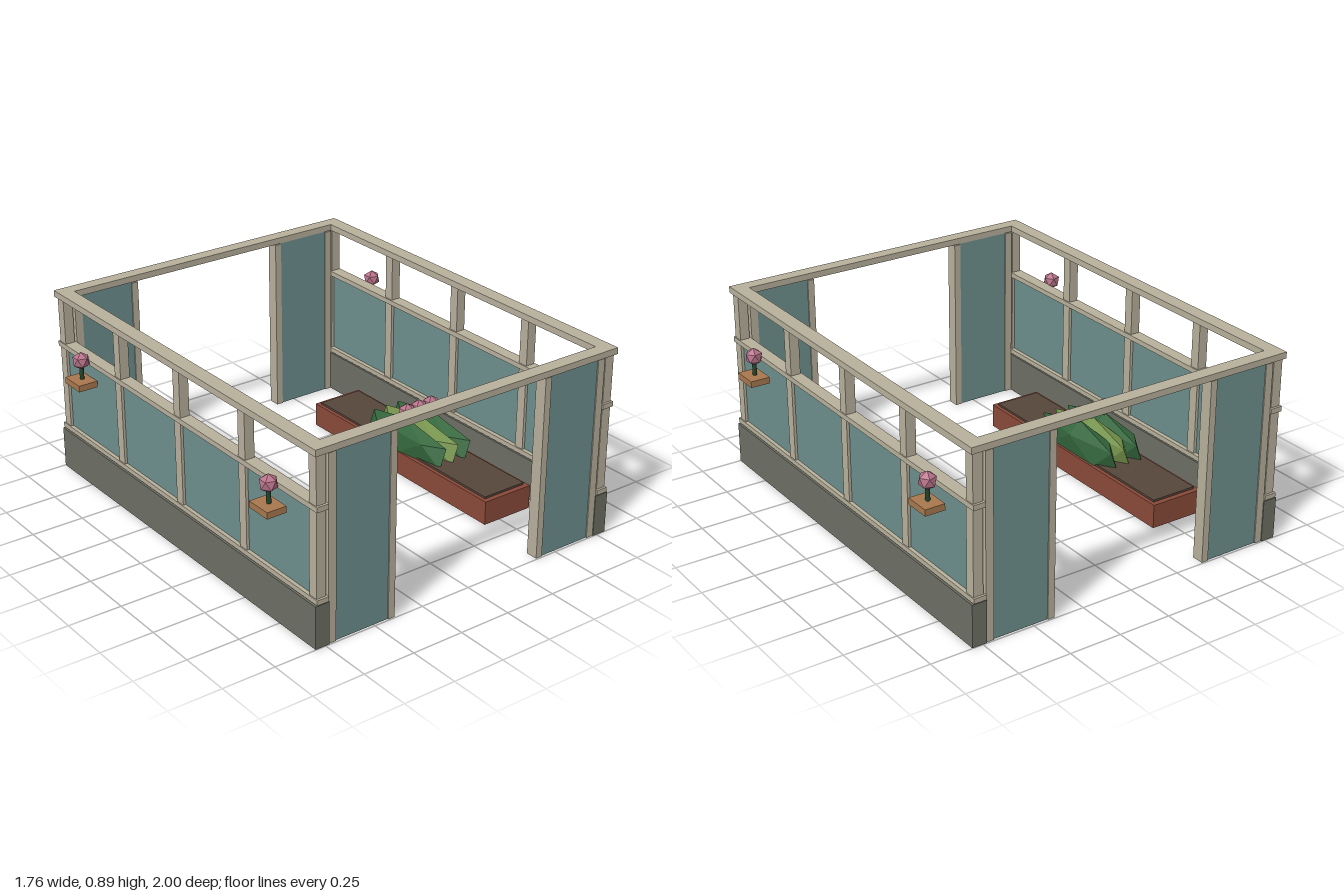
import * as THREE from 'three';

const mat = (name, color, flatShading = false) => {
  const m = new THREE.MeshStandardMaterial({ color, flatShading });
  m.name = name;
  return m;
};

export function createModel() {
  const cream = mat('creamFrame', 0xb8b09c);
  const stone = mat('greyBase', 0x6d6f64);
  const glass = mat('tealGlass', 0x6d8f8d);
  const brick = mat('redPlanter', 0x8a4a3a);
  const soil = mat('brownSoil', 0x55463a);
  const wood = mat('shelfWood', 0xa8784e);
  const darkLeaf = mat('darkLeaf', 0x33663c, true);
  const lightLeaf = mat('lightLeaf', 0x74914a, true);
  const stemGreen = mat('stemGreen', 0x24452e);
  const pink = mat('pinkPetal', 0xb8728a, true);

  const model = new THREE.Group();
  model.name = 'greenhouse';

  const add = (name, geo, material, x, y, z) => {
    const m = new THREE.Mesh(geo, material);
    m.name = name;
    m.position.set(x, y, z);
    model.add(m);
    return m;
  };
  // Box given by its limits on each axis
  const box = (name, material, x0, x1, y0, y1, z0, z1) =>
    add(name, new THREE.BoxGeometry(Math.abs(x1 - x0), y1 - y0, z1 - z0), material,
      (x0 + x1) / 2, (y0 + y1) / 2, (z0 + z1) / 2);

  // Icosahedron standing on a vertex, used for blooms and bushes
  const lump = new THREE.IcosahedronGeometry(1, 0);
  lump.rotateZ(-Math.atan(2 / (1 + Math.sqrt(5))));
  const flower = (x, y, z, stemLength) => {
    add('flowerStem', new THREE.CylinderGeometry(0.01, 0.01, stemLength, 6), stemGreen,
      x, y - stemLength / 2, z);
    add('flowerBloom', lump, pink, x, y, z).scale.setScalar(0.042);
  };

  // Top frame across front and back
  for (const s of [-1, 1])
    add('topEndRail', new THREE.BoxGeometry(1.46, 0.03, 0.065), cream, 0, 0.88, s * 0.9675);

  for (const s of [-1, 1]) {
    // Long side wall
    box('topSideRail', cream, s * 0.73, s * 0.8, 0.865, 0.895, -1, 1);
    box('baseWall', stone, s * 0.73, s * 0.8, 0, 0.199, -0.998, 0.998);
    box('lowerRail', cream, s * 0.734, s * 0.793, 0.203, 0.226, -1, 1);
    box('middleRail', cream, s * 0.734, s * 0.793, 0.62, 0.644, -1, 1);
    box('sideGlass', glass, s * 0.755, s * 0.775, 0.226, 0.62, -0.95, 0.95);
    for (const z of [-0.965, -0.482, 0, 0.482, 0.965])
      box('sidePost', cream, s * 0.741, s * 0.788, 0.197, 0.866, z - 0.024, z + 0.024);

    // Front and back panels beside the openings
    for (const e of [-0.965, 0.965]) {
      box('endGlass', glass, s * 0.424, s * 0.696, 0, 0.865, e - 0.024, e + 0.024);
      box('innerJamb', cream, s * 0.393, s * 0.426, 0, 0.86, e - 0.029, e + 0.029);
      box('outerJamb', cream, s * 0.694, s * 0.732, 0, 0.86, e - 0.029, e + 0.029);
    }

    // Planter bed
    box('planter', brick, s * 0.412, s * 0.678, 0, 0.115, -0.635, 0.635);
    box('soilBed', soil, s * 0.43, s * 0.66, 0.1, 0.125, -0.61, 0.61);
    for (const i of [-1, 0, 1]) {
      const x = s * 0.545 + i * 0.073;
      add('bush', lump, i ? darkLeaf : lightLeaf, x, 0.157, 0).scale.set(0.066, 0.11, 0.315);
      flower(x, 0.3, 0, 0.08);
    }

    // Small outside shelves with a flower each
    for (const z of [-0.73, 0.73]) {
      box('flowerShelf', wood, s * 0.788, s * 0.882, 0.53, 0.56, z - 0.062, z + 0.062);
      flower(s * 0.83, 0.65, z, 0.095);
    }
  }
  return model;
}
